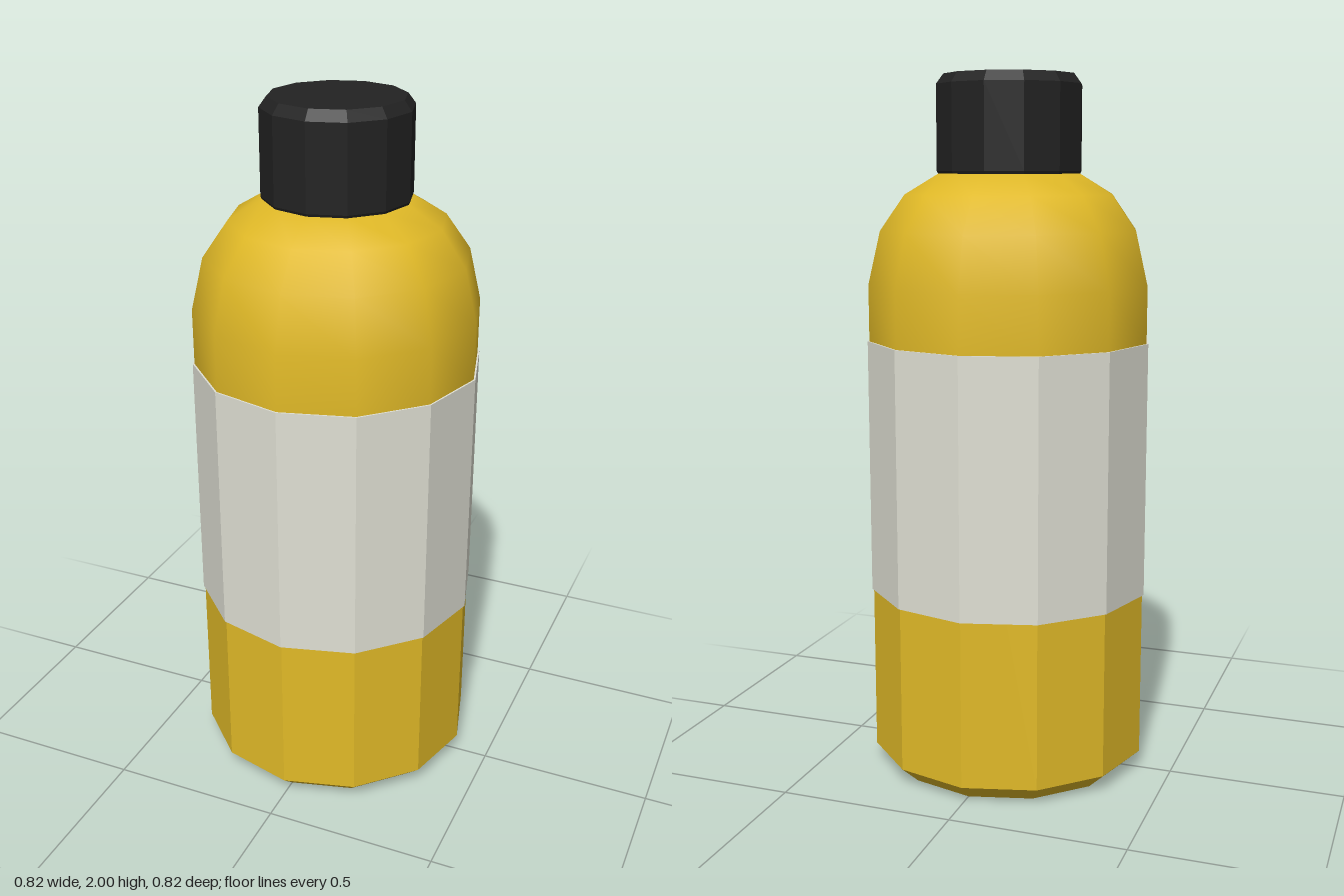
import * as THREE from 'three';
import { toCreasedNormals } from 'three/addons/utils/BufferGeometryUtils.js';

const SIDES = 12;

// Twelve-sided turned part from [radius, height] pairs, listed bottom to top on the outside
function turned(name, profile, material, faceted = true) {
  const points = profile.map(([r, y]) => new THREE.Vector2(r, y));
  let geometry = new THREE.LatheGeometry(points, SIDES);
  if (faceted) geometry = toCreasedNormals(geometry, 0.2);
  const mesh = new THREE.Mesh(geometry, material);
  mesh.name = name;
  return mesh;
}

export function createModel() {
  const yellow = new THREE.MeshStandardMaterial({ color: 0xe0b927 });
  const paper = new THREE.MeshStandardMaterial({ color: 0xdfdfd3 });
  const black = new THREE.MeshStandardMaterial({ color: 0x222222 });
  yellow.name = 'yellow plastic';
  paper.name = 'label paper';
  black.name = 'black cap';

  const bottle = new THREE.Group();
  bottle.name = 'bottle';

  // Straight faceted body with a chamfered base
  bottle.add(turned('body', [[0, 0], [0.35, 0], [0.405, 0.05], [0.405, 1.26]], yellow));

  // Smooth domed shoulder closing under the cap
  bottle.add(turned('shoulder', [
    [0.405, 1.26], [0.405, 1.42], [0.37, 1.57], [0.3, 1.67], [0.2, 1.73], [0, 1.73],
  ], yellow, false));

  // Thin band wrapped around the body
  bottle.add(turned('label', [[0.403, 0.53], [0.41, 0.53], [0.41, 1.26], [0.403, 1.26]], paper));

  // Cap with a narrow bevel at both rims
  bottle.add(turned('cap', [
    [0, 1.725], [0.203, 1.725], [0.208, 1.735], [0.208, 1.972], [0.187, 2], [0, 2],
  ], black));

  return bottle;
}
